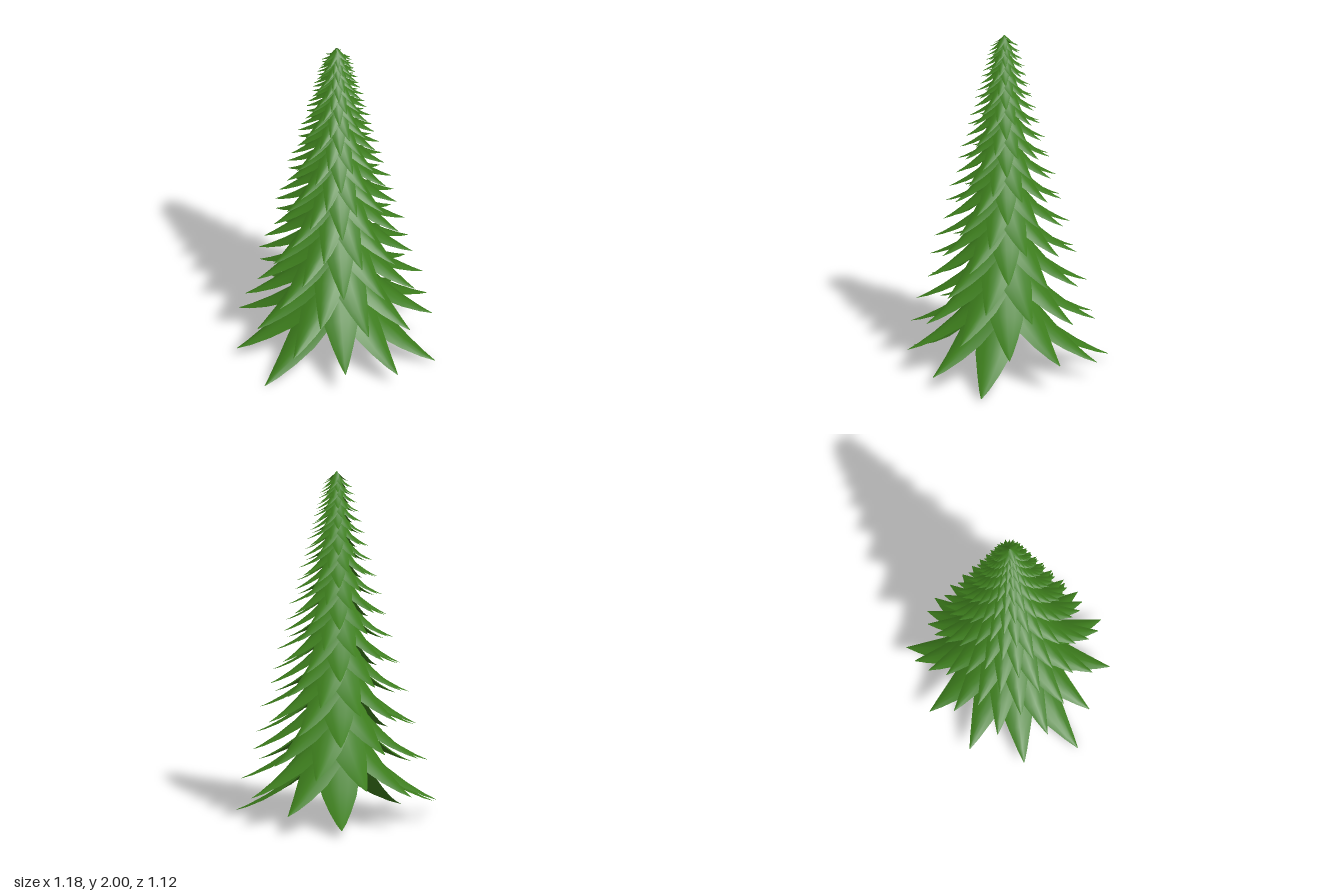
import * as THREE from 'three';

const LEAVES = 200;
const SHRINK = 0.99;                            // each leaf relative to the one below
const TURN = THREE.MathUtils.degToRad(109.57);  // spiral step
const LIMIT = 2.24;                             // height the spiral converges to

// One arched, drooping leaf pointing along +x, tip at y = 0
function leafGeometry() {
  // distance from the trunk axis, height, half width
  const stations = [
    [0.0, 0.46, 0.02], [0.08, 0.385, 0.095], [0.18, 0.29, 0.122], [0.3, 0.185, 0.1],
    [0.42, 0.1, 0.064], [0.53, 0.036, 0.029], [0.605, 0, 0.002],
  ];
  const across = 4;
  const positions = [], index = [];
  stations.forEach(([r, y, w], i) => {
    for (let j = 0; j <= across; j++) {
      const t = (j / across) * 2 - 1;
      positions.push(r, y - 0.36 * w * t * t, w * t);
      if (i && j) {
        const d = i * (across + 1) + j, c = d - 1;
        const b = d - across - 1, a = b - 1;
        index.push(a, b, d, a, d, c);
      }
    }
  });
  const geometry = new THREE.BufferGeometry();
  geometry.setAttribute('position', new THREE.Float32BufferAttribute(positions, 3));
  geometry.setIndex(index);
  geometry.computeVertexNormals();
  return geometry;
}

export function createModel() {
  const tree = new THREE.Group();
  tree.name = 'tree';
  const green = new THREE.MeshStandardMaterial({ color: 0x3c7c1c, side: THREE.DoubleSide });
  const brown = new THREE.MeshStandardMaterial({ color: 0x5a3020 });

  // Tapered trunk
  const trunk = new THREE.Mesh(new THREE.CylinderGeometry(0.005, 0.04, 1.66, 8), brown);
  trunk.name = 'trunk';
  trunk.position.y = 0.32 + 0.83;
  tree.add(trunk);

  // Spiral of leaves, shrinking towards the top
  const foliage = new THREE.Group();
  foliage.name = 'foliage';
  const geometry = leafGeometry();
  for (let k = 0; k < LEAVES; k++) {
    const size = SHRINK ** k;
    const leaf = new THREE.Mesh(geometry, green);
    leaf.name = 'leaf';
    leaf.scale.setScalar(size);
    leaf.position.y = LIMIT * (1 - size);
    leaf.rotation.y = Math.PI + k * TURN;
    foliage.add(leaf);
  }
  tree.add(foliage);

  // The spiral is uneven, so its axis sits slightly off centre
  tree.children.forEach((part) => {
    part.position.x = 0.015;
    part.position.z = -0.008;
  });
  return tree;
}
